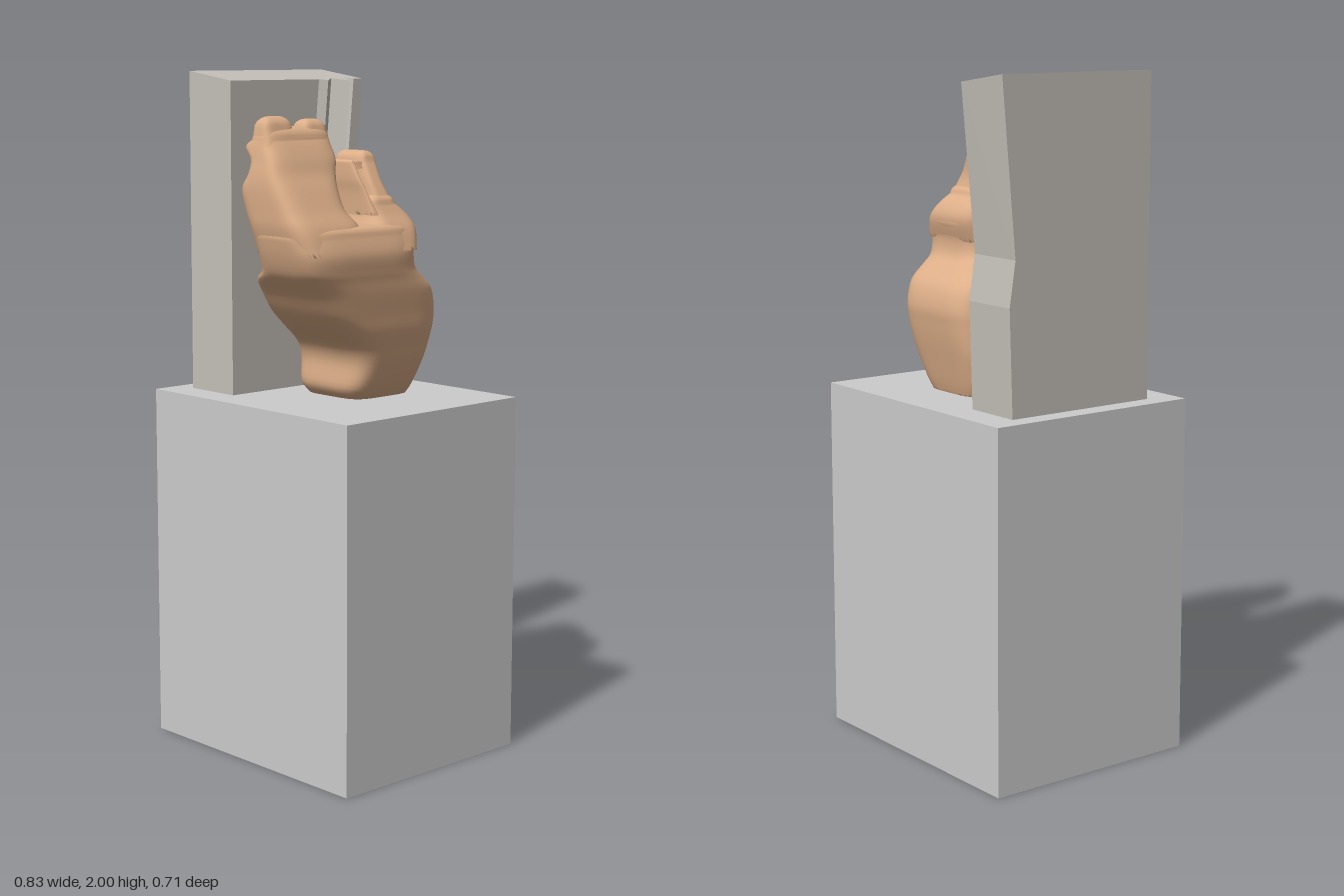
import * as THREE from 'three';

const stone = new THREE.MeshStandardMaterial({ color: 0xcccccc });
const slate = new THREE.MeshStandardMaterial({ color: 0xc4c0b8 });
const tan = new THREE.MeshStandardMaterial({ color: 0xdcae88 });

// Skin a stack of equal-length rings (clockwise from above) and cap both ends
function skin(rings, flat) {
  const n = rings[0].length, index = [], last = (rings.length - 1) * n;
  for (let r = 0; r < rings.length - 1; r++) {
    for (let i = 0; i < n; i++) {
      const a = r * n + i, b = r * n + (i + 1) % n;
      index.push(a, b + n, b, a, a + n, b + n);
    }
  }
  const outline = rings[0].map(p => new THREE.Vector2(p[0], p[2]));
  for (const [a, b, c] of THREE.ShapeUtils.triangulateShape(outline, [])) {
    index.push(a, b, c, last + a, last + c, last + b);
  }
  let g = new THREE.BufferGeometry();
  g.setAttribute('position', new THREE.Float32BufferAttribute(rings.flat(2), 3));
  g.setIndex(index);
  if (flat) g = g.toNonIndexed();
  g.computeVertexNormals();
  return g;
}

// Rounded-box cross-section from [y, x0, x1, z0, z1]
function section([y, x0, x1, z0, z1], inset = 0, power = 4.5, n = 64) {
  const ring = [], bend = v => Math.sign(v) * Math.abs(v) ** (2 / power);
  const hx = Math.max((x1 - x0) / 2 - inset, 0.002), hz = Math.max((z1 - z0) / 2 - inset, 0.002);
  for (let i = 0; i < n; i++) {
    const a = i / n * Math.PI * 2;
    ring.push([(x0 + x1) / 2 + hx * bend(Math.cos(a)), y, (z0 + z1) / 2 + hz * bend(Math.sin(a))]);
  }
  return ring;
}

// Smooth loft through sections, finished with a rounded top of radius r
function loft(name, rows, r) {
  const tracks = [1, 2, 3, 4].map(k => new THREE.SplineCurve(rows.map(s => new THREE.Vector2(s[0], s[k]))));
  const steps = (rows.length - 1) * 4, rings = [];
  for (let i = 0; i <= steps; i++) {
    const p = tracks.map(c => c.getPoint(i / steps));
    rings.push(section([p[0].x, ...p.map(v => v.y)]));
  }
  const end = rows[rows.length - 1];
  for (let k = 1; k <= 5; k++) {
    const a = k / 5 * Math.PI / 2;
    rings.push(section([end[0] + r * Math.sin(a), ...end.slice(1)], r * (1 - Math.cos(a))));
  }
  const mesh = new THREE.Mesh(skin(rings, false), tan);
  mesh.name = name;
  return mesh;
}

export function createModel() {
  const model = new THREE.Group();

  // Plinth
  const plinth = new THREE.Mesh(new THREE.BoxGeometry(0.833, 1.06, 0.68), stone);
  plinth.position.set(-0.002, 0.53, -0.015);
  plinth.name = 'plinth';
  model.add(plinth);

  // Upright slab with a fractured rear corner and sloping top
  const plan = [[-0.357, 0.232], [-0.357, -0.293], [-0.172, -0.293], [-0.172, -0.255], [-0.2, -0.24],
    [-0.14, -0.21], [-0.185, -0.175], [-0.155, -0.135], [-0.172, -0.113], [-0.172, 0.232]];
  const levels = [[1.06, 0.035], [1.37, 0.025], [1.5, 0.045], [2, 0]];
  const slabRings = levels.map(([y, shift]) => plan.map(([x, z]) =>
    [x, y === 2 ? 2 - (x + 0.357) * 0.14 : y, z < 0 ? z + shift : z]));
  const slab = new THREE.Mesh(skin(slabRings, true), slate);
  slab.name = 'slab';
  model.add(slab);

  // Carved hand: palm, then the raised fingers
  const hand = new THREE.Group();
  hand.name = 'hand';
  hand.add(
    loft('palm', [
      [1.065, -0.07, 0.165, -0.18, 0.05], [1.1, -0.085, 0.19, -0.19, 0.075],
      [1.17, -0.095, 0.22, -0.205, 0.07], [1.22, -0.095, 0.235, -0.215, 0.09],
      [1.27, -0.095, 0.25, -0.222, 0.145], [1.32, -0.093, 0.257, -0.225, 0.2],
      [1.38, -0.085, 0.266, -0.205, 0.245], [1.42, -0.055, 0.27, -0.16, 0.285],
      [1.45, 0.0, 0.274, -0.122, 0.31], [1.5, 0.01, 0.277, -0.112, 0.33],
      [1.55, 0.01, 0.26, -0.125, 0.342]], 0.025),
    loft('frontFinger', [
      [1.5, 0.015, 0.27, 0.09, 0.325], [1.57, 0.008, 0.248, 0.085, 0.345],
      [1.62, -0.005, 0.215, 0.115, 0.35], [1.68, -0.015, 0.18, 0.112, 0.353],
      [1.72, 0.012, 0.155, 0.1, 0.35], [1.76, 0.018, 0.137, 0.086, 0.342],
      [1.795, -0.012, 0.118, 0.085, 0.335], [1.815, 0.015, 0.105, 0.088, 0.33]], 0.035),
    loft('frontFingertip', [
      [1.78, 0.02, 0.115, 0.21, 0.335], [1.845, 0.025, 0.09, 0.22, 0.325]], 0.035),
    loft('innerFingertip', [
      [1.78, 0.02, 0.115, 0.086, 0.19], [1.84, 0.025, 0.092, 0.095, 0.18]], 0.03),
    loft('rearKnuckle', [
      [1.5, 0.012, 0.274, -0.11, 0.06], [1.56, 0.008, 0.252, -0.125, 0.05],
      [1.6, 0, 0.225, -0.11, 0.036], [1.63, -0.008, 0.208, -0.075, 0.038]], 0.025),
    loft('rearFinger', [
      [1.6, 0, 0.22, -0.08, 0.015], [1.66, -0.012, 0.19, -0.058, 0.012],
      [1.7, 0.002, 0.168, -0.05, 0.012], [1.75, 0.018, 0.14, -0.054, 0.008]], 0.028),
    loft('thinFinger', [
      [1.6, 0, 0.22, 0.012, 0.04], [1.66, -0.012, 0.19, 0.028, 0.044],
      [1.7, 0.002, 0.168, 0.034, 0.05], [1.745, 0.018, 0.14, 0.032, 0.051]], 0.008),
    loft('fingerBridge', [
      [1.728, 0.02, 0.14, -0.03, 0.047], [1.742, 0.022, 0.135, -0.03, 0.047]], 0.01));
  model.add(hand);

  return model;
}
